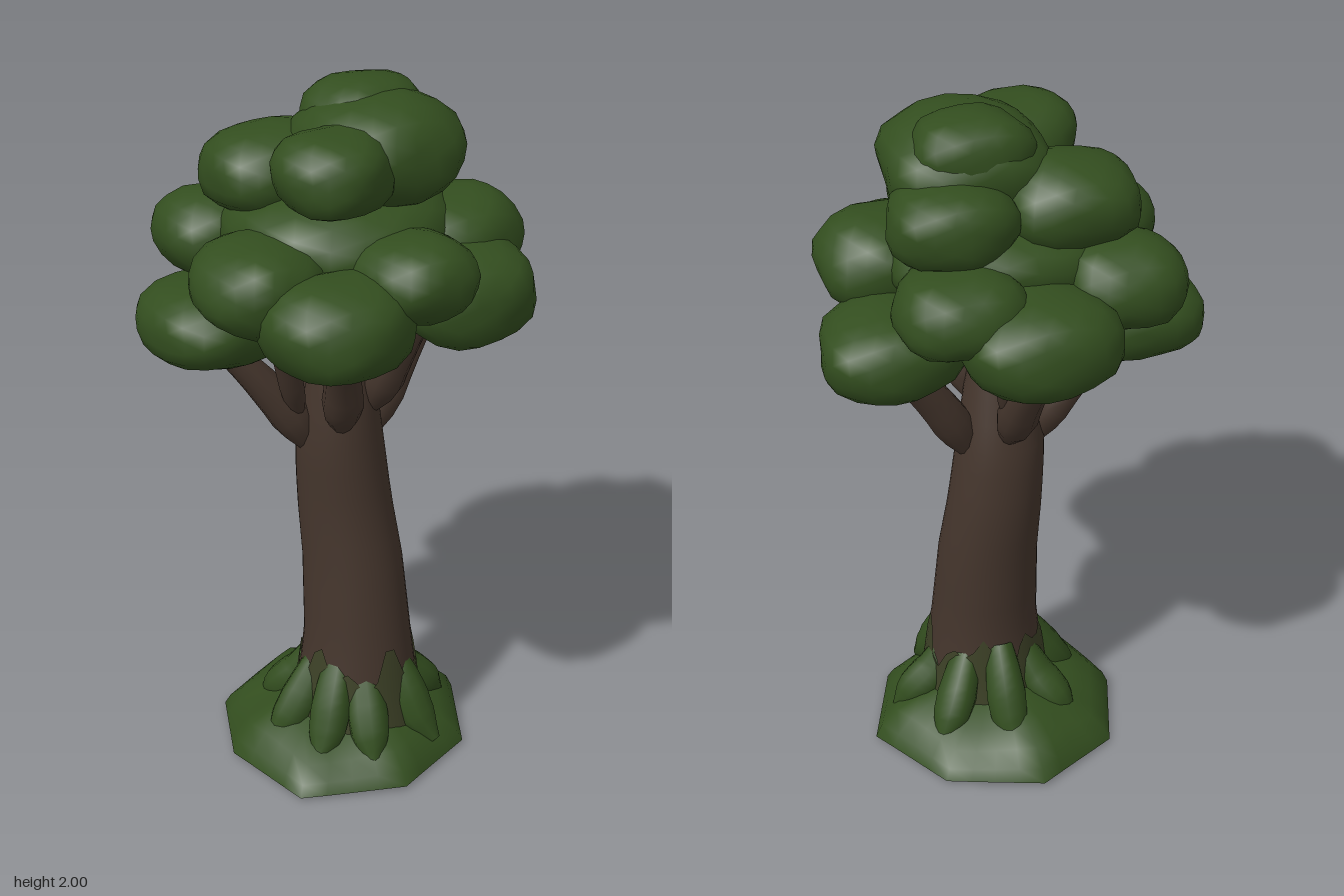
import * as THREE from 'three';
import { mergeVertices } from 'three/addons/utils/BufferGeometryUtils.js';

const mat = (name, color, side = THREE.FrontSide) => {
  const m = new THREE.MeshStandardMaterial({ color, side });
  m.name = name;
  return m;
};

// Weld a geometry, move each vertex by a rule, and smooth it
function sculpt(geometry, rule, keepCreases = false) {
  geometry.deleteAttribute('uv');
  if (!keepCreases) geometry.deleteAttribute('normal');
  const g = mergeVertices(geometry, 1e-4);
  const p = g.attributes.position, v = new THREE.Vector3();
  for (let i = 0; i < p.count; i++) {
    v.fromBufferAttribute(p, i);
    rule(v);
    p.setXYZ(i, v.x, v.y, v.z);
  }
  g.computeVertexNormals();
  return g;
}

// Trunk sections: height, centre x, centre z, radius
const TRUNK = [
  [0, 0.022, 0.058, 0.21], [0.18, 0.027, 0.058, 0.177], [0.35, 0.03, 0.055, 0.155],
  [0.6, 0.025, 0.032, 0.143], [0.78, 0.01, 0.012, 0.134], [0.97, -0.007, 0.012, 0.125],
  [1.13, -0.01, 0.027, 0.1], [1.29, -0.012, 0.035, 0.066],
];
function trunkAt(y) {
  let i = 0;
  while (i < TRUNK.length - 2 && y > TRUNK[i + 1][0]) i++;
  const a = TRUNK[i], b = TRUNK[i + 1];
  const t = THREE.MathUtils.clamp((y - a[0]) / (b[0] - a[0]), 0, 1);
  return a.map((n, k) => THREE.MathUtils.lerp(n, b[k], t));
}

// Sleeve following the trunk up to a height that may depend on the angle
function trunkSleeve(topAt, grow, rows, open) {
  const foot = 0.06;
  return sculpt(new THREE.CylinderGeometry(1, 1, 1, 36, rows, open), (v) => {
    const a = Math.atan2(v.x, v.z);
    const y = THREE.MathUtils.lerp(foot, topAt(a), v.y + 0.5);
    const [, cx, cz, r] = trunkAt(y);
    const k = r * (1 + 0.015 * Math.sin(3 * a + y * 2)) + grow;
    v.set(cx + v.x * k, y, cz + v.z * k);
  }, true);
}

// Round limb along a curve, with the radius changing from point to point
function limb(points, radii) {
  const curve = new THREE.CatmullRomCurve3(points.map((p) => new THREE.Vector3(...p)));
  const rows = 10, sides = 10;
  const centres = curve.getSpacedPoints(rows);
  const tube = new THREE.TubeGeometry(curve, rows, 1, sides);
  const p = tube.attributes.position, v = new THREE.Vector3();
  for (let i = 0; i < p.count; i++) {
    const row = Math.floor(i / (sides + 1));
    const s = (row / rows) * (radii.length - 1);
    const k = Math.min(Math.floor(s), radii.length - 2);
    const r = THREE.MathUtils.lerp(radii[k], radii[k + 1], s - k);
    v.fromBufferAttribute(p, i).sub(centres[row]).multiplyScalar(r).add(centres[row]);
    p.setXYZ(i, v.x, v.y, v.z);
  }
  return sculpt(tube, () => {});
}

// Lumpy, slightly boxy leaf clump
function clump([x, y, z, rx, ry, rz], seed) {
  const s = seed * 2.39, p = 2.5;
  return sculpt(new THREE.IcosahedronGeometry(1, 3), (v) => {
    v.normalize();
    const lump = 0.04 * Math.sin(3.1 * v.x + s) * Math.cos(2.7 * v.z - s)
      + 0.025 * Math.sin(4.3 * v.z + 2.9 * v.y + 1.7 * s)
      + 0.025 * Math.sin(5.7 * v.x - 4.1 * v.y + s);
    const box = (Math.abs(v.x) ** p + Math.abs(v.y) ** p + Math.abs(v.z) ** p) ** (-1 / p);
    v.multiplyScalar(box * (1 + lump));
    v.set(x + v.x * rx, y + v.y * ry, z + v.z * rz);
  });
}

// Angular mound outline: corner radii read round from the front towards +x
const CORNERS = [0.39, 0.375, 0.39, 0.37, 0.375, 0.36, 0.355, 0.41].map((r, i) =>
  new THREE.Vector2(Math.sin(i * Math.PI / 4) * r, Math.cos(i * Math.PI / 4) * r));
function mound(profile) {
  const n = CORNERS.length;
  const g = new THREE.LatheGeometry(profile.map(([r, y]) => new THREE.Vector2(r, y)), n * 4);
  const edge = new THREE.Vector2();
  return sculpt(g, (v) => {
    const a = Math.atan2(v.x, v.z);
    const f = ((a / (2 * Math.PI) + 1) % 1) * n;
    const i = Math.floor(f) % n;
    edge.lerpVectors(CORNERS[i], CORNERS[(i + 1) % n], f - Math.floor(f));
    const r = Math.hypot(v.x, v.z);
    v.set(edge.x * r, v.y * (1 + 0.15 * r * Math.sin(4 * a + 1)), edge.y * r);
  });
}

export function createModel() {
  const tree = new THREE.Group();
  tree.name = 'tree';
  const leaf = mat('leaf green', 0x334e1f);
  const bark = mat('bark brown', 0x44352c, THREE.DoubleSide);
  const moss = mat('mossy bark', 0x3c4026, THREE.DoubleSide);

  const group = (name) => {
    const g = new THREE.Group();
    g.name = name;
    tree.add(g);
    return g;
  };
  const add = (parent, name, geometry, material) => {
    const m = new THREE.Mesh(geometry, material);
    m.name = name;
    parent.add(m);
  };

  // Trunk and the ragged moss around its foot
  add(tree, 'trunk', trunkSleeve(() => 1.29, 0, 16, false), bark);
  const ragged = (a) => 0.29 + 0.045 * Math.sin(5 * a + 1) + 0.04 * Math.sin(9 * a + 0.9);
  add(tree, 'trunkMoss', trunkSleeve(ragged, 0.005, 8, true), moss);

  // Grassy mound with an earth underside, rolled up at the rim
  add(tree, 'mound', mound([[1, 0.01], [0.95, 0.045], [0.83, 0.085], [0.65, 0.115], [0.4, 0.15], [0, 0.16]]), leaf);
  add(tree, 'moundUnderside', mound([[0, 0.02], [0.6, 0.012], [0.92, 0], [1, 0.01]]), bark);

  // Mossy roots spreading from the trunk
  const roots = group('roots');
  [-0.3, 0.5, 1.5, 2.3, 3.1, 3.9, 4.75, 5.4].forEach((a, i) => {
    const top = 0.26 + 0.03 * Math.sin(i * 2.1);
    const at = (r, y) => [0.025 + Math.sin(a) * r, y, 0.04 + Math.cos(a) * r];
    add(roots, 'root', limb([at(0.115, top + 0.03), at(0.165, top - 0.06), at(0.215, 0.125), at(0.28, 0.06)],
      [0.04, 0.053, 0.06, 0.055, 0.015]), leaf);
  });

  // Branches rising into the crown
  const branches = group('branches');
  const thick = [0.015, 0.06, 0.052, 0.042, 0.034], thin = [0.015, 0.036, 0.034, 0.03, 0.026];
  [
    // right-hand side and its fork
    [[0.07, 0.92, 0], [0.125, 1.03, 0], [0.22, 1.18, -0.02], [0.39, 1.38, -0.06], thick],
    [[0.14, 1.05, 0], [0.17, 1.13, 0.01], [0.22, 1.25, 0.02], [0.29, 1.48, 0.04], thin],
    // left-hand side and its fork
    [[-0.08, 0.93, 0], [-0.13, 1.03, -0.01], [-0.22, 1.16, -0.03], [-0.36, 1.33, -0.07], thick],
    [[-0.13, 1.05, 0], [-0.16, 1.14, 0.03], [-0.2, 1.26, 0.06], [-0.28, 1.5, 0.12], thin],
    // front pair
    [[-0.04, 1.02, 0.08], [-0.06, 1.1, 0.12], [-0.09, 1.22, 0.18], [-0.17, 1.42, 0.29], thick],
    [[0.04, 1.06, 0.07], [0.06, 1.13, 0.1], [0.085, 1.25, 0.15], [0.13, 1.45, 0.25], thick],
    // back and its fork
    [[0, 1, -0.06], [0, 1.09, -0.12], [0, 1.2, -0.19], [-0.02, 1.42, -0.34], thick],
    [[0, 1.1, -0.1], [0.02, 1.17, -0.14], [0.04, 1.27, -0.18], [0.07, 1.46, -0.27], thin],
  ].forEach((b) => add(branches, 'branch', limb(b.slice(0, 4), b[4]), bark));

  // Leaf clumps: centre x, y, z and radii x, y, z
  const crown = group('crown');
  [
    // core
    [0, 1.6, 0, 0.31, 0.14, 0.29],
    // lower and middle ring
    [0.015, 1.475, -0.33, 0.21, 0.14, 0.195],
    [-0.25, 1.555, -0.235, 0.17, 0.12, 0.16],
    [-0.35, 1.37, -0.08, 0.195, 0.115, 0.195],
    [-0.32, 1.55, 0.14, 0.17, 0.12, 0.18],
    [-0.195, 1.48, 0.33, 0.2, 0.13, 0.185],
    [0.03, 1.57, 0.325, 0.165, 0.11, 0.17],
    [0.22, 1.465, 0.27, 0.195, 0.135, 0.18],
    [0.285, 1.56, 0.11, 0.185, 0.125, 0.17],
    [0.355, 1.405, -0.12, 0.185, 0.125, 0.185],
    [0.21, 1.565, -0.26, 0.17, 0.11, 0.165],
    // top
    [-0.15, 1.755, -0.12, 0.185, 0.12, 0.16],
    [0.18, 1.75, -0.13, 0.17, 0.115, 0.155],
    [-0.11, 1.825, 0.16, 0.155, 0.11, 0.15],
    [0.085, 1.825, 0.045, 0.225, 0.145, 0.215],
    [0.09, 1.885, -0.03, 0.165, 0.113, 0.13],
  ].forEach((c, i) => add(crown, 'leafClump', clump(c, i + 1), leaf));

  return tree;
}
